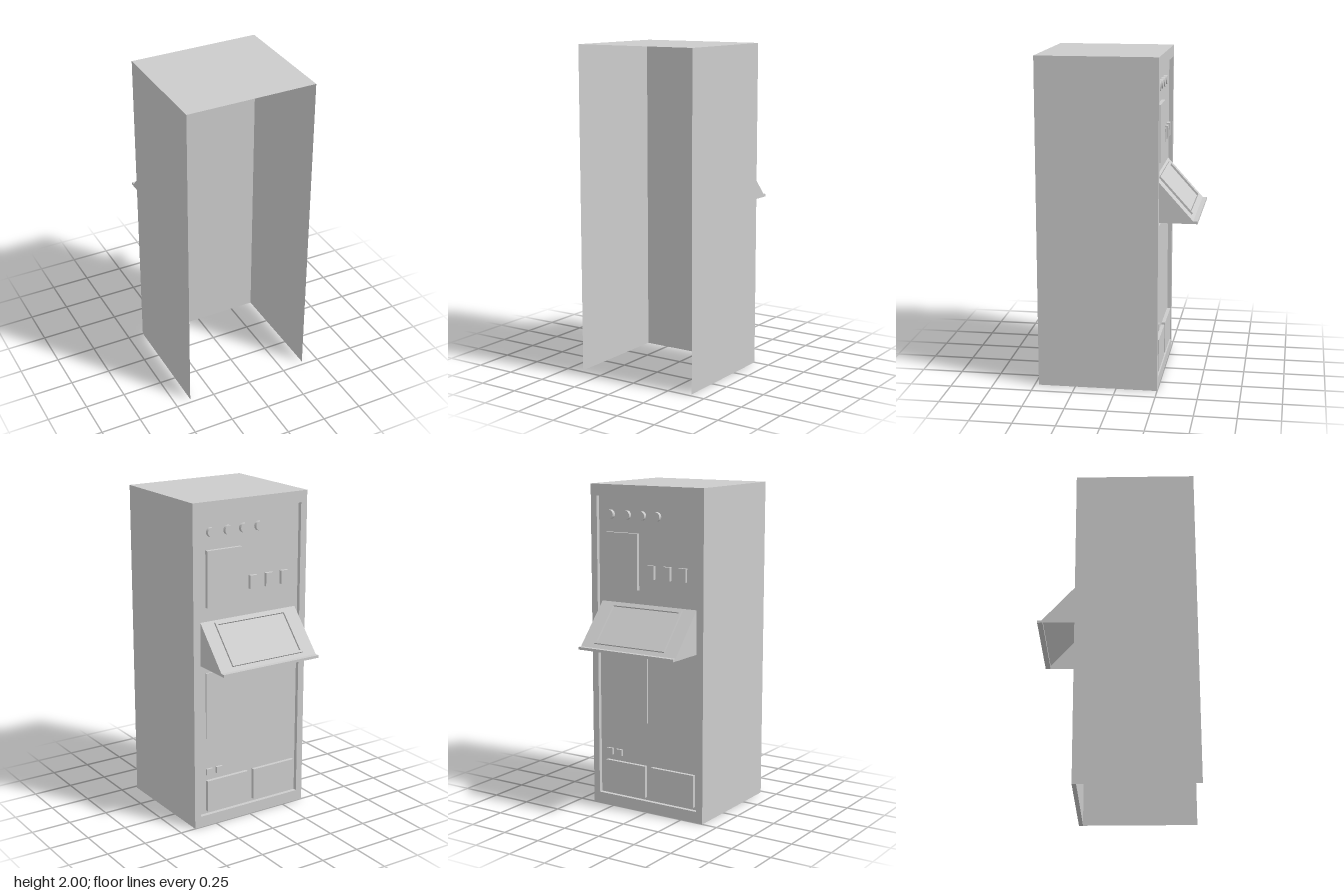
import * as THREE from 'three';

export function createModel() {
  const group = new THREE.Group();
  const mat = new THREE.MeshStandardMaterial({ color: 0xcccccc, side: THREE.DoubleSide, flatShading: true });
  const FACE = -0.25, PANEL = -0.225;

  const add = (name, geometry, parent = group) => {
    const mesh = new THREE.Mesh(geometry, mat);
    mesh.name = name;
    parent.add(mesh);
    return mesh;
  };

  // Rectangle path, optionally used as a hole
  const rect = (x0, y0, x1, y1, Type = THREE.Shape) => {
    const p = new Type();
    p.moveTo(x0, y0);
    p.lineTo(x1, y0);
    p.lineTo(x1, y1);
    p.lineTo(x0, y1);
    p.closePath();
    return p;
  };
  const frame = (outer, inner, depth) => {
    const s = rect(...outer);
    s.holes.push(rect(...inner, THREE.Path));
    return new THREE.ExtrudeGeometry(s, { depth, bevelEnabled: false });
  };

  // Block standing out of the recessed instrument panel
  const block = (name, x0, x1, y0, y1, depth) => {
    const back = PANEL - 0.001;
    add(name, new THREE.BoxGeometry(x1 - x0, y1 - y0, depth))
      .position.set((x0 + x1) / 2, (y0 + y1) / 2, back - depth / 2);
  };

  // Thin sheet cabinet, open at +z and underneath
  const depth = 0.475 - FACE, midZ = (0.475 + FACE) / 2;
  for (const side of [-1, 1]) {
    const wall = add('cabinetSide', new THREE.PlaneGeometry(depth, 2));
    wall.rotation.y = side * Math.PI / 2;
    wall.position.set(side * 0.4, 1, midZ);
  }
  const top = add('cabinetTop', new THREE.PlaneGeometry(0.8, depth));
  top.rotation.x = -Math.PI / 2;
  top.position.set(0, 2, midZ);

  // Face frame with the recessed panel inside it
  add('faceFrame', frame([-0.4, 0, 0.4, 2], [-0.357, 0.07, 0.357, 1.93], PANEL - FACE)).position.z = FACE;
  const panel = add('instrumentPanel', new THREE.PlaneGeometry(0.714, 1.86));
  panel.rotation.y = Math.PI;
  panel.position.set(0, 1, PANEL);

  // Round knobs
  for (const x of [-0.065, 0.042, 0.15, 0.268]) {
    const knob = add('knob', new THREE.CylinderGeometry(0.028, 0.028, 0.022, 20));
    knob.rotation.x = -Math.PI / 2;
    knob.position.set(x, 1.82, PANEL - 0.011);
  }

  // Upper plate, switches, lower plate, small buttons and bottom doors
  block('upperPlate', 0.065, 0.302, 1.375, 1.715, 0.023);
  for (const x of [-0.025, -0.138, -0.248]) block('switch', x - 0.026, x + 0.026, 1.448, 1.53, 0.02);
  block('lowerPlate', 0.005, 0.305, 0.562, 0.975, 0.009);
  for (const x of [0.285, 0.216]) block('smallButton', x - 0.021, x + 0.021, 0.325, 0.365, 0.014);
  block('bottomDoor', 0.013, 0.306, 0.09, 0.29, 0.022);
  block('bottomDoor', -0.333, -0.03, 0.09, 0.29, 0.022);

  // Sloping console, open underneath
  const half = 0.338, topY = 1.29, lowY = 1.04, lowZ = -0.45;
  const cheek = new THREE.Shape([
    new THREE.Vector2(-PANEL, 1.025), new THREE.Vector2(-lowZ, 1.025),
    new THREE.Vector2(-lowZ, lowY), new THREE.Vector2(-PANEL, topY),
  ]);
  for (const side of [-1, 1]) {
    const mesh = add('consoleSide', new THREE.ShapeGeometry(cheek));
    mesh.rotation.y = Math.PI / 2;
    mesh.position.x = side * half;
  }

  // Slope group: local x across, y up the slope, z out of its surface
  const run = PANEL - lowZ, rise = topY - lowY, length = Math.hypot(run, rise);
  const slope = new THREE.Group();
  slope.name = 'consoleSlope';
  const out = new THREE.Vector3(0, run, -rise).normalize();
  const up = new THREE.Vector3(0, rise, run).normalize();
  slope.quaternion.setFromRotationMatrix(
    new THREE.Matrix4().makeBasis(new THREE.Vector3(-1, 0, 0), up, out));
  slope.position.set(0, lowY, lowZ);
  group.add(slope);
  add('slopePlate', new THREE.PlaneGeometry(half * 2, length), slope).position.y = length / 2;
  add('screenBezel', frame([-0.25, 0.029, 0.25, 0.32], [-0.236, 0.044, 0.236, 0.302], 0.012), slope);

  // Lip along the lower edge of the console
  add('consoleLip', new THREE.BoxGeometry(half * 2, 0.016, 0.032)).position.set(0, 1.033, -0.459);

  return group;
}
